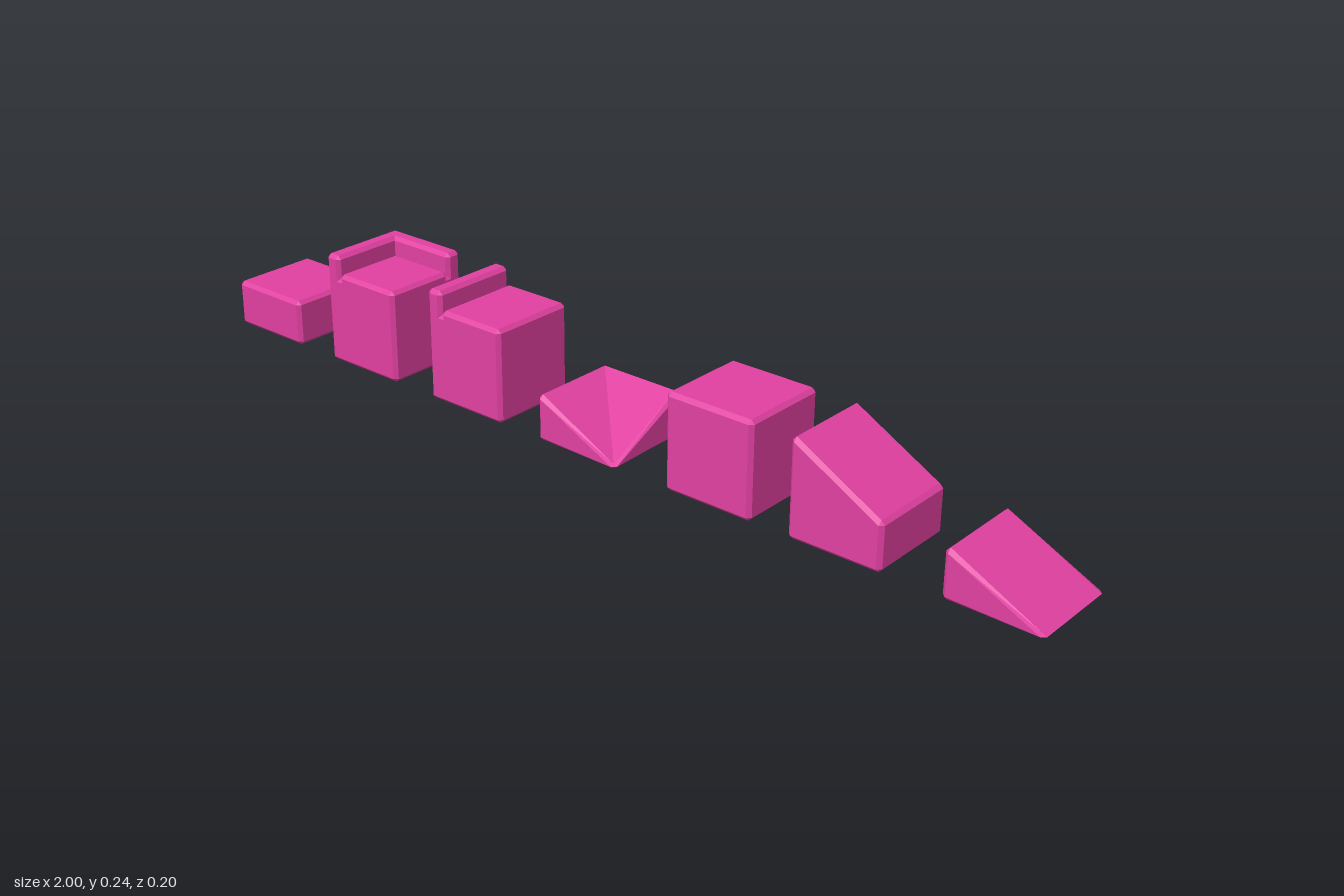
import * as THREE from 'three';

const BEVEL = 0.008;
const HALF = 0.098;
const material = new THREE.MeshStandardMaterial({ color: 0xe040a0, flatShading: true });

// Corner signs, anticlockwise seen from above: front left, front right, back right, back left
const CORNERS = [[-1, 1], [1, 1], [1, -1], [-1, -1]];

// Bevelled block between x0..x1, z0..z1 and y = base; each corner has its own top height
function bevelledBlock(name, [x0, x1], [z0, z1], base, heights) {
  const cx = (x0 + x1) / 2, cz = (z0 + z1) / 2;
  const hx = (x1 - x0) / 2, hz = (z1 - z0) / 2;
  const positions = [];
  const tri = (a, b, c) => positions.push(...a, ...b, ...c);

  // Ring of eight points, two per corner; level 0 and 3 are inset, 1 and 2 are full size
  const ring = (level) => CORNERS.flatMap(([sx, sz], i) => {
    const top = heights[i];
    const b = Math.min(BEVEL, (top - base) / 2);
    const y = [base, base + b, top - b, top][level];
    const inset = [cx + sx * (hx - BEVEL), y, cz + sz * (hz - BEVEL)];
    if (level === 0 || level === 3) return [inset, inset];
    const alongX = [cx + sx * (hx - BEVEL), y, cz + sz * hz];
    const alongZ = [cx + sx * hx, y, cz + sz * (hz - BEVEL)];
    return sx * sz > 0 ? [alongX, alongZ] : [alongZ, alongX];
  });

  const rings = [0, 1, 2, 3].map(ring);
  for (let k = 0; k < 3; k++) {
    for (let i = 0; i < 8; i++) {
      const j = (i + 1) % 8;
      const a = rings[k][i], b = rings[k][j], c = rings[k + 1][j], d = rings[k + 1][i];
      if (a !== b) tri(a, b, c);
      if (c !== d) tri(a, c, d);
    }
  }
  // Caps; the top is split from back left to front right
  const [lo, hi] = [rings[0], rings[3]];
  tri(hi[0], hi[2], hi[6]);
  tri(hi[2], hi[4], hi[6]);
  tri(lo[0], lo[6], lo[2]);
  tri(lo[2], lo[6], lo[4]);

  const geometry = new THREE.BufferGeometry();
  geometry.setAttribute('position', new THREE.Float32BufferAttribute(positions, 3));
  geometry.computeVertexNormals();
  const mesh = new THREE.Mesh(geometry, material);
  mesh.name = name;
  return mesh;
}

const FULL = [-HALF, HALF];
const level = (h) => [h, h, h, h];
const tile = (name, heights) => bevelledBlock(name, FULL, FULL, 0, heights);

// Full block with raised rims on the left edge and, optionally, the back edge
function rimmedBlock(name, withBack) {
  const rim = [-HALF, -HALF + 0.037];
  const inner = [rim[1], HALF];
  const group = new THREE.Group();
  group.name = name;
  group.add(
    tile('blockBody', level(0.19)),
    bevelledBlock('blockTop', inner, withBack ? inner : FULL, 0.165, level(0.2)),
    bevelledBlock('sideRim', rim, FULL, 0.165, level(0.238)),
  );
  if (withBack) group.add(bevelledBlock('backRim', FULL, rim, 0.165, level(0.238)));
  return group;
}

export function createModel() {
  const model = new THREE.Group();
  model.name = 'terrainBlocks';
  const low = 0.007;

  // The row of pieces with their x positions
  const pieces = [
    [-0.902, tile('halfBlock', level(0.1))],
    [-0.605, rimmedBlock('cornerRimBlock', true)],
    [-0.306, rimmedBlock('edgeRimBlock', false)],
    [-0.01, tile('innerCornerSlope', [0.097, low, 0.097, 0.097])],
    [0.308, tile('fullBlock', level(0.2))],
    [0.586, tile('upperSlope', [0.199, 0.1, 0.1, 0.199])],
    [0.902, tile('lowerSlope', [0.098, low, low, 0.098])],
  ];
  for (const [x, piece] of pieces) {
    piece.position.x = x;
    model.add(piece);
  }
  return model;
}
